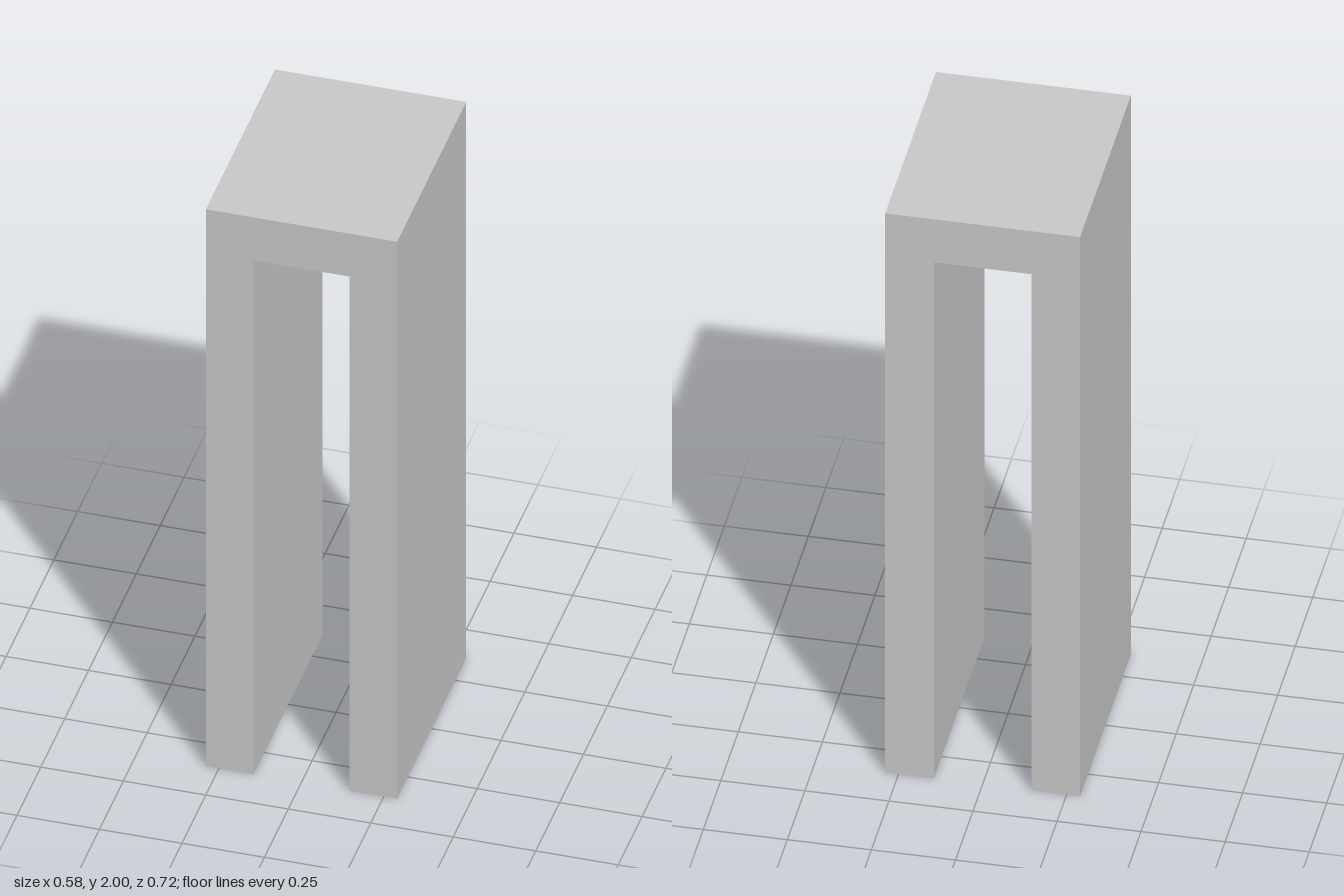
import * as THREE from 'three';

const HALF_WIDTH = 0.29;
const HALF_OPENING = 0.145;
const HEIGHT = 2;
const OPENING_HEIGHT = 1.846;
const DEPTH = 0.724;

export function createModel() {
  const group = new THREE.Group();
  group.name = 'archway';

  // Square arch outline: two legs joined by a lintel
  const outline = new THREE.Shape([
    [-HALF_WIDTH, 0],
    [-HALF_OPENING, 0],
    [-HALF_OPENING, OPENING_HEIGHT],
    [HALF_OPENING, OPENING_HEIGHT],
    [HALF_OPENING, 0],
    [HALF_WIDTH, 0],
    [HALF_WIDTH, HEIGHT],
    [-HALF_WIDTH, HEIGHT],
  ].map(([x, y]) => new THREE.Vector2(x, y)));

  // Extruded front to back and centred on z
  const geometry = new THREE.ExtrudeGeometry(outline, { depth: DEPTH, bevelEnabled: false });
  geometry.translate(0, 0, -DEPTH / 2);

  const material = new THREE.MeshStandardMaterial({ color: 0xcccccc, flatShading: true });
  const frame = new THREE.Mesh(geometry, material);
  frame.name = 'archFrame';
  group.add(frame);
  return group;
}
